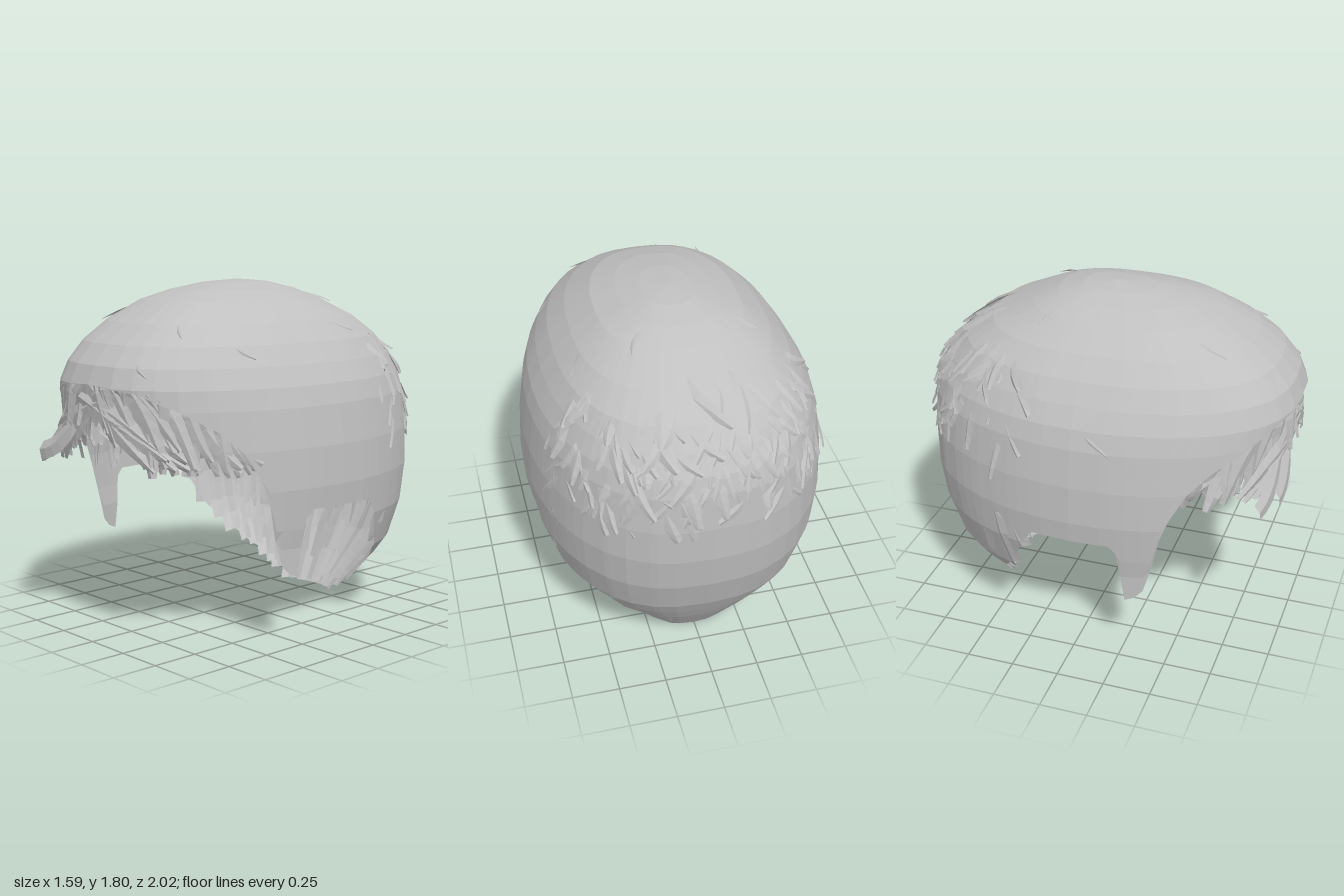
import * as THREE from 'three';
import { mergeGeometries } from 'three/addons/utils/BufferGeometryUtils.js';

const hairGrey = new THREE.MeshStandardMaterial({ color: 0xc0c0c0, flatShading: true, side: THREE.DoubleSide });
hairGrey.name = 'hair grey';

// Head profile by height: [y, half width, front depth, back depth]
const PROFILE = [
  [0, 0.36, 1, 0.63], [0.1, 0.45, 1, 0.70], [0.2, 0.54, 1, 0.77], [0.3, 0.65, 1, 0.83],
  [0.4, 0.725, 1, 0.885], [0.6, 0.78, 1, 0.95], [0.8, 0.795, 1, 0.98], [1.0, 0.785, 1, 0.985],
  [1.2, 0.755, 1, 0.97], [1.3, 0.725, 1, 0.94], [1.4, 0.67, 0.96, 0.88], [1.5, 0.60, 0.875, 0.79],
  [1.6, 0.505, 0.745, 0.65], [1.7, 0.375, 0.56, 0.43], [1.75, 0.25, 0.40, 0.31], [1.785, 0.13, 0.21, 0.17], [1.8, 0, 0, 0],
];

// Hairline by angle from the front: [angle, y]
const EDGE = [
  [0, 1.31], [0.35, 1.28], [0.61, 1.2], [0.835, 1.1], [0.96, 1.0], [1.047, 0.87], [1.10, 0.75],
  [1.15, 0.55], [1.19, 0.42], [1.234, 0.375], [1.287, 0.355], [1.31, 0.5], [1.33, 0.65], [1.37, 0.69],
  [1.79, 0.69], [1.866, 0.6], [1.93, 0.5], [2.01, 0.4], [2.14, 0.3], [2.28, 0.2], [2.55, 0.1],
  [2.87, 0], [Math.PI, 0],
];

function sample(table, v, k) {
  if (v <= table[0][0]) return table[0][k];
  for (let i = 1; i < table.length; i++) {
    const p = table[i - 1], q = table[i];
    if (v <= q[0]) return p[k] + (q[k] - p[k]) * (v - p[0]) / (q[0] - p[0]);
  }
  return table[table.length - 1][k];
}

const signedPow = (v, e) => Math.sign(v) * Math.abs(v) ** e;

// Point on the head at angle a and height y, pushed outward by off
function headPoint(a, y, off = 0) {
  const s = Math.sin(a), c = Math.cos(a), front = c > 0;
  const w = sample(PROFILE, front ? Math.max(y, 0.55) : y, 1); // sideburns hang straight
  const d = sample(PROFILE, y, front ? 2 : 3);
  const lift = y > 1.3 ? off * 0.7 : 0;
  const square = 1 - 0.15 * THREE.MathUtils.smoothstep(y, 1.3, 1.55); // fuller crown
  return new THREE.Vector3((w + off) * signedPow(s, 0.8), y + lift, (d + off) * signedPow(c, square));
}

function gridGeometry(rows) {
  const n = rows[0].length, pos = [], index = [];
  rows.forEach(r => r.forEach(p => pos.push(p.x, p.y, p.z)));
  for (let i = 0; i < rows.length - 1; i++) {
    for (let j = 0; j < n - 1; j++) {
      const a = i * n + j, b = a + 1, c = a + n, d = c + 1;
      index.push(a, c, b, b, c, d);
    }
  }
  const g = new THREE.BufferGeometry();
  g.setAttribute('position', new THREE.Float32BufferAttribute(pos, 3));
  g.setIndex(index);
  g.computeVertexNormals();
  return g;
}

// Smooth shell, its rows cut off along the hairline
function shellGeometry() {
  const half = EDGE.map(e => e[0]);
  for (let i = 1; i < 20; i++) {
    const a = i * Math.PI / 20;
    if (half.every(h => Math.abs(h - a) > 0.03)) half.push(a);
  }
  half.sort((p, q) => p - q);
  const angles = [...half.slice(1).reverse().map(a => -a), ...half];
  const levels = [1.8, 1.785, 1.75, 1.7, 1.65, 1.6, 1.5, 1.4, 1.3, 1.2, 1.1, 1, 0.9, 0.8,
    0.7, 0.6, 0.5, 0.4, 0.3, 0.2, 0.1, 0];
  return gridGeometry(levels.map(l => angles.map(a =>
    headPoint(a, Math.max(l, sample(EDGE, Math.abs(a), 1))))));
}

// Tapered ribbon following the head from (a0, y0) to (a1, y1)
function lock(a0, y0, a1, y1, width, off0, off1, tip = 0.15, bow = 0) {
  const rows = [], steps = 5;
  const at = t => headPoint(a0 + (a1 - a0) * t, y0 + (y1 - y0) * t + bow * Math.sin(Math.PI * t),
    off0 + (off1 - off0) * t);
  for (let i = 0; i <= steps; i++) {
    const t = i / steps, p = at(t);
    const along = at(t + 0.02).sub(at(t - 0.02)).normalize();
    const a = a0 + (a1 - a0) * t;
    const out = new THREE.Vector3(Math.sin(a), 0.2, Math.cos(a)).normalize();
    const side = along.cross(out).normalize();
    const w = width / 2 * (1 - (1 - tip) * t ** 1.5) * (0.6 + 0.4 * Math.min(1, t * 4));
    rows.push([p.clone().addScaledVector(side, -w), p.clone().addScaledVector(out, width * 0.12),
      p.clone().addScaledVector(side, w)]);
  }
  return gridGeometry(rows);
}

function seeded(seed) {
  return (lo, hi) => {
    seed = (seed * 16807) % 2147483647;
    return lo + (hi - lo) * seed / 2147483647;
  };
}

export function createModel() {
  const model = new THREE.Group();
  model.name = 'hair';
  const rnd = seeded(4271);
  const add = (name, geometry) => {
    const mesh = new THREE.Mesh(geometry, hairGrey);
    mesh.name = name;
    model.add(mesh);
  };
  add('hairShell', shellGeometry());

  // Parted fringe, swept down and outward under the front hairline
  for (const side of [1, -1]) {
    const fringe = [];
    for (let i = 0; i < 85; i++) {
      const a = rnd(-0.08, 0.98);
      const end = Math.min(a + rnd(-0.05, 0.28), 1.06);
      const low = 1.1 - 0.2 * Math.min(1, Math.max(0, end) / 0.4) + rnd(-0.03, 0.12);
      fringe.push(lock(side * a, sample(EDGE, Math.abs(a), 1) + 0.02, side * end, low, rnd(0.06, 0.13),
        -rnd(0.01, 0.07), -rnd(0.0, 0.14), 0.35, rnd(-0.03, 0.05)));
    }
    // Long curtain locks from the parting
    for (let i = 0; i < 12; i++) {
      fringe.push(lock(side * (i * 0.03 - 0.08), 1.24 - i * 0.014, side * rnd(0.3, 0.66), rnd(0.88, 0.98),
        0.12, -rnd(0.02, 0.05), -rnd(0.0, 0.05), 0.25, rnd(0, 0.05)));
    }
    add(side > 0 ? 'leftFringe' : 'rightFringe', mergeGeometries(fringe));
  }

  // Broad stray locks springing forward from the right of the fringe
  const stray = [[-0.15, -0.44, 0.93], [-0.28, -0.58, 0.89]]
    .map(([a, b, y]) => lock(a, 1.1, b, y, 0.13, -0.03, 0.08, 0.7, -0.04));
  add('strayFringeLocks', mergeGeometries(stray));

  // Tousled locks over the back of the crown
  const tousled = [];
  for (let i = 0; i < 190; i++) {
    const u = rnd(-1, 1), a = Math.PI + u * 1.15, y = rnd(1.16, 1.68 - 0.05 * u * u);
    tousled.push(lock(a, y, a + rnd(-0.26, 0.26), y - rnd(0.13, 0.28), rnd(0.05, 0.11),
      -0.02, rnd(-0.015, 0.025), 0.35, rnd(-0.02, 0.02)));
  }
  add('tousledBackLocks', mergeGeometries(tousled));

  // Flat strips lining the inside of the nape
  const lining = [];
  for (let i = 0; i < 60; i++) {
    const u = -1 + 2 * i / 59, a = Math.PI + u * 1.2;
    const e = sample(EDGE, Math.PI - Math.abs(u * 1.2), 1);
    lining.push(lock(a, rnd(0.72, 0.86), a + rnd(-0.08, 0.08), Math.max(0.01, e + rnd(-0.04, 0.2)),
      rnd(0.08, 0.15), -rnd(0.01, 0.05), -rnd(0.005, 0.04), 0.7));
  }
  add('napeLining', mergeGeometries(lining));

  // Shorter strips inside the sides, above the ears
  for (const side of [1, -1]) {
    const strips = [];
    for (let i = 0; i < 20; i++) {
      const a = 1.12 + i * 0.042;
      strips.push(lock(side * a, rnd(0.95, 1.1), side * (a + rnd(-0.04, 0.04)), rnd(0.7, 0.78),
        rnd(0.07, 0.11), -rnd(0.02, 0.05), -rnd(0.015, 0.05), 0.6));
    }
    add(side > 0 ? 'leftSideLining' : 'rightSideLining', mergeGeometries(strips));
  }

  // A few loose wisps on the crown
  const wisps = [[0.5, 1.6], [-0.7, 1.66], [1.0, 1.5], [2.4, 1.74], [-2.2, 1.72], [0.3, 1.42], [-1.5, 1.27], [1.8, 1.6]]
    .map(([a, y]) => lock(a, y, a + 0.12, y - 0.07, 0.03, -0.005, 0.012));
  add('looseWisps', mergeGeometries(wisps));
  return model;
}
